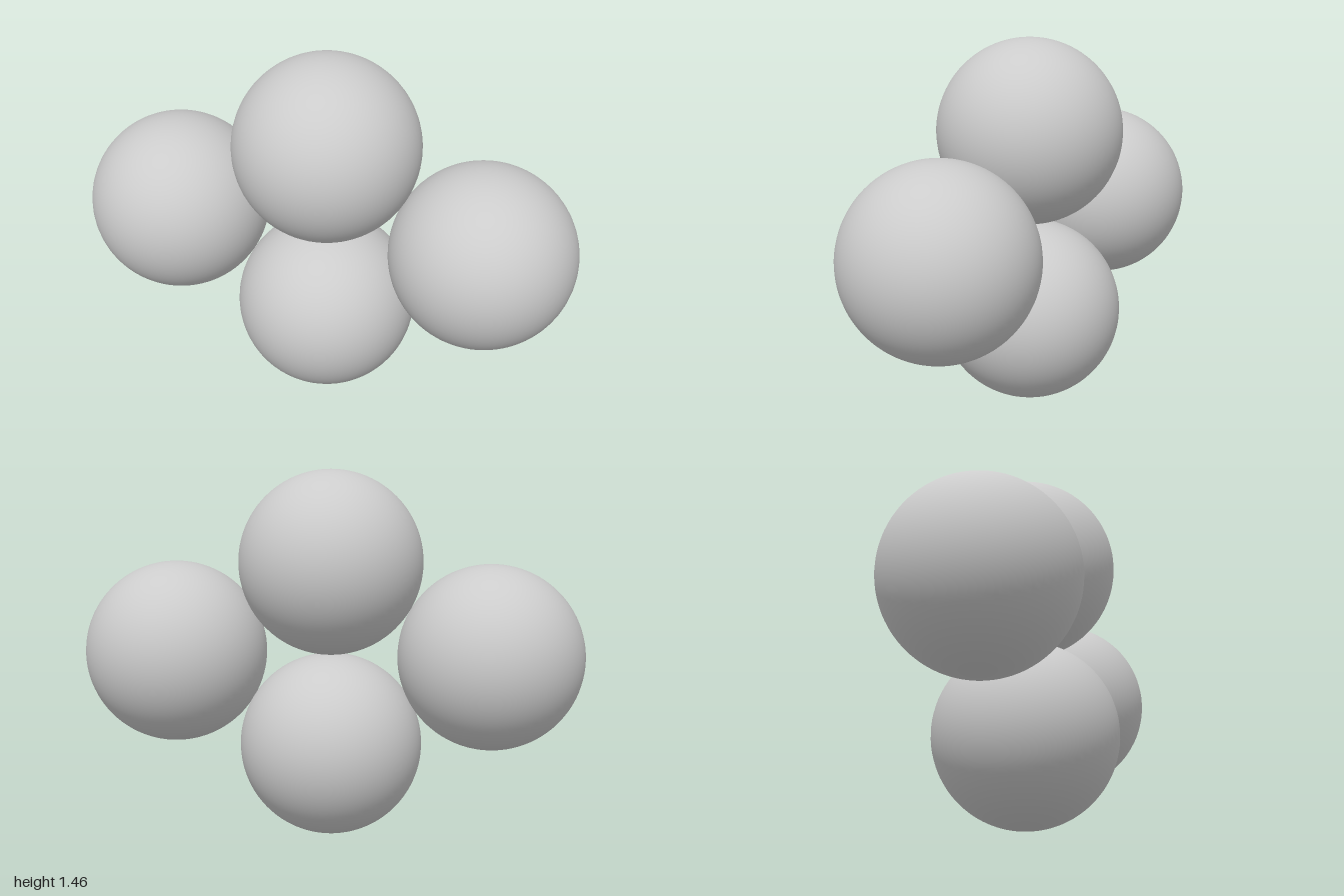
import * as THREE from 'three';

// Four equal spheres packed in a rhombus, each touching its neighbours.
export function createModel() {
  const model = new THREE.Group();
  model.name = 'packedSpheres';

  // Two radii plus the triangle heights span the full width of 2
  const radius = 1 / (1 + Math.sqrt(3));
  const sideX = radius * Math.sqrt(3);
  const geometry = new THREE.SphereGeometry(radius, 64, 48);
  const material = new THREE.MeshStandardMaterial({ color: 0xcccccc });

  const spheres = [
    ['bottomSphere', 0, radius],
    ['topSphere', 0, 3 * radius],
    ['leftSphere', sideX, 2 * radius],
    ['rightSphere', -sideX, 2 * radius],
  ];
  for (const [name, x, y] of spheres) {
    const sphere = new THREE.Mesh(geometry, material);
    sphere.name = name;
    sphere.position.set(x, y, 0);
    model.add(sphere);
  }
  return model;
}
